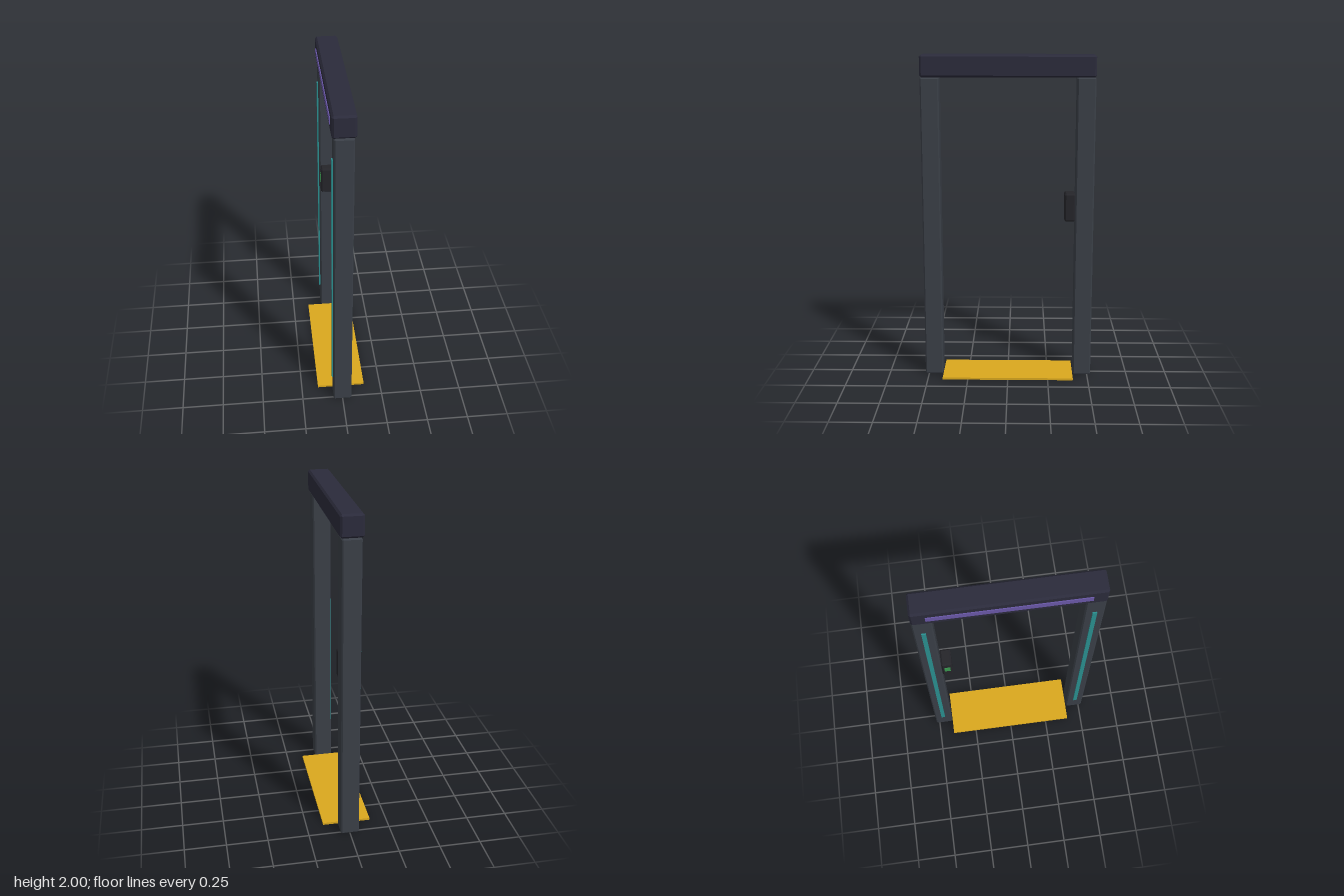
import * as THREE from 'three';
import { ConvexGeometry } from 'three/addons/geometries/ConvexGeometry.js';

const material = (color) => new THREE.MeshStandardMaterial({ color, flatShading: true });

// Box with every edge cut by one flat chamfer c
function chamferBox(w, h, d, c) {
  const points = [];
  for (const x of [-w / 2, w / 2]) for (const y of [-h / 2, h / 2]) for (const z of [-d / 2, d / 2]) {
    const ix = x - Math.sign(x) * c, iy = y - Math.sign(y) * c, iz = z - Math.sign(z) * c;
    points.push(new THREE.Vector3(x, iy, iz), new THREE.Vector3(ix, y, iz), new THREE.Vector3(ix, iy, z));
  }
  return new ConvexGeometry(points);
}

export function createModel() {
  const model = new THREE.Group();
  model.name = 'walkThroughGate';

  const postMat = material(0x3a3f47);
  const beamMat = material(0x2b2b3b);
  const matMat = material(0xdaa81e);
  const boxMat = material(0x25252a);
  const sideLightMat = material(0x2a9090);
  const topLightMat = material(0x6a58a8);
  const screenMat = material(0x3a9a50);

  const add = (name, geometry, mat, x, y, z) => {
    const mesh = new THREE.Mesh(geometry, mat);
    mesh.name = name;
    mesh.position.set(x, y, z);
    model.add(mesh);
  };

  // Two posts, each with a light strip on the -x face
  for (const side of [1, -1]) {
    const label = side > 0 ? 'front' : 'back';
    add(label + 'Post', chamferBox(0.112, 1.868, 0.112, 0.008), postMat, 0, 0.934, side * 0.466);
    add(label + 'LightStrip', new THREE.BoxGeometry(0.012, 1.57, 0.025), sideLightMat, -0.058, 0.935, side * 0.466);
  }

  // Top beam and its light strip
  add('topBeam', chamferBox(0.134, 0.132, 1.044, 0.011), beamMat, 0, 1.934, 0);
  add('topLightStrip', new THREE.BoxGeometry(0.01, 0.04, 0.88), topLightMat, -0.067, 1.934, 0);

  // Floor mat
  add('floorMat', new THREE.BoxGeometry(0.294, 0.013, 0.814), matMat, 0, 0.0065, 0);

  // Reader box on the inner face of the back post, with its small screen
  add('readerBox', chamferBox(0.104, 0.174, 0.064, 0.009), boxMat, 0, 1.082, -0.377);
  add('readerScreen', new THREE.BoxGeometry(0.006, 0.052, 0.036), screenMat, -0.052, 1.095, -0.375);

  return model;
}
